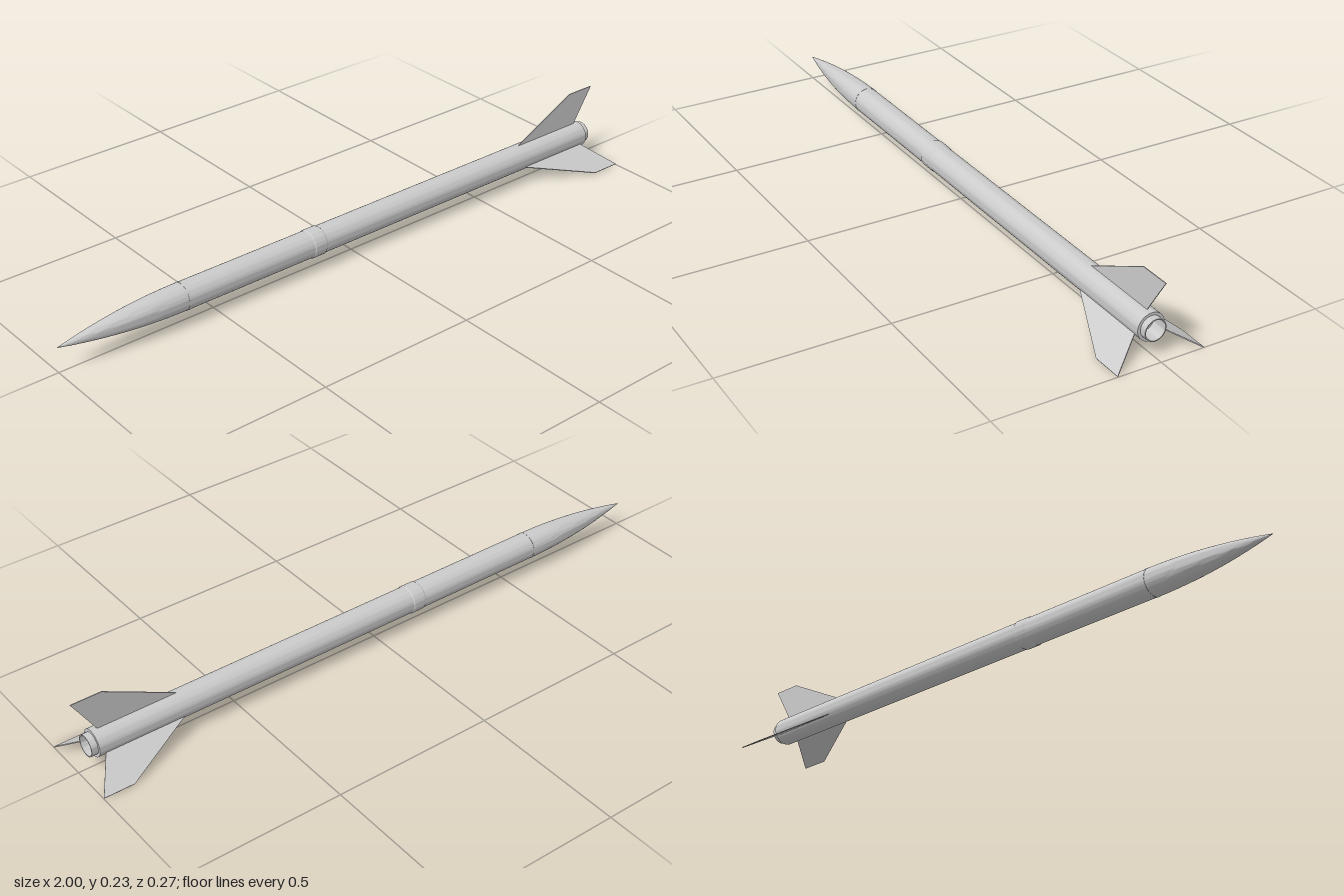
import * as THREE from 'three';
import { toCreasedNormals } from 'three/addons/utils/BufferGeometryUtils.js';

const AXIS_Y = 0.08;
const R = 0.0415;      // body tube radius
const material = new THREE.MeshStandardMaterial({ color: 0xcccccc });

// Revolve [x, radius] pairs around the long axis (x runs from nose to tail)
function revolve(name, profile) {
  const points = profile.map(([x, r]) => new THREE.Vector2(r, x));
  const geometry = new THREE.LatheGeometry(points, 48);
  geometry.rotateZ(-Math.PI / 2);
  const mesh = new THREE.Mesh(toCreasedNormals(geometry, 0.5), material);
  mesh.name = name;
  return mesh;
}

export function createModel() {
  const group = new THREE.Group();
  group.name = 'rocket';
  const rocket = new THREE.Group();
  rocket.name = 'airframe';
  rocket.position.y = AXIS_Y;
  group.add(rocket);

  // Tangent ogive nose cone
  const length = 0.4;
  const rho = (R * R + length * length) / (2 * R);
  const nose = [];
  for (let i = 0; i <= 24; i++) {
    const d = length * (i / 24) ** 1.4;
    const r = Math.sqrt(rho * rho - (length - d) ** 2) + R - rho;
    nose.push([-1 + d, Math.max(r, 0)]);
  }
  rocket.add(revolve('noseCone', nose));

  // Body tubes with a raised coupler band between them
  rocket.add(revolve('noseCollar', [[-0.604, R], [-0.604, 0.0422], [-0.596, 0.0422], [-0.596, R]]));
  rocket.add(revolve('forwardTube', [[-0.6, R], [-0.15, R]]));
  rocket.add(revolve('couplerBand', [[-0.165, R], [-0.162, 0.0435], [-0.123, 0.0435], [-0.12, R]]));
  rocket.add(revolve('aftTube', [[-0.15, R], [0.95, R], [0.95, 0.031]]));

  // Motor tube, recessed at the tail, with a small nozzle hole
  rocket.add(revolve('motorTube', [
    [0.94, 0.033], [0.97, 0.033], [0.97, 0.03], [0.92, 0.03],
    [0.92, 0.004], [0.9, 0.004], [0.9, 0],
  ]));

  // Three swept fins, 120 degrees apart
  const outline = [[0.68, 0.04], [0.905, 0.153], [1, 0.153], [0.93, 0.04]];
  const shape = new THREE.Shape(outline.map(([x, y]) => new THREE.Vector2(x, y)));
  const thickness = 0.003;
  const finGeometry = new THREE.ExtrudeGeometry(shape, { depth: thickness, bevelEnabled: false });
  finGeometry.translate(0, 0, -thickness / 2);
  for (let i = 0; i < 3; i++) {
    const fin = new THREE.Mesh(finGeometry, material);
    fin.name = ['topFin', 'frontFin', 'rearFin'][i];
    fin.rotation.x = (i * Math.PI * 2) / 3;
    rocket.add(fin);
  }
  return group;
}
